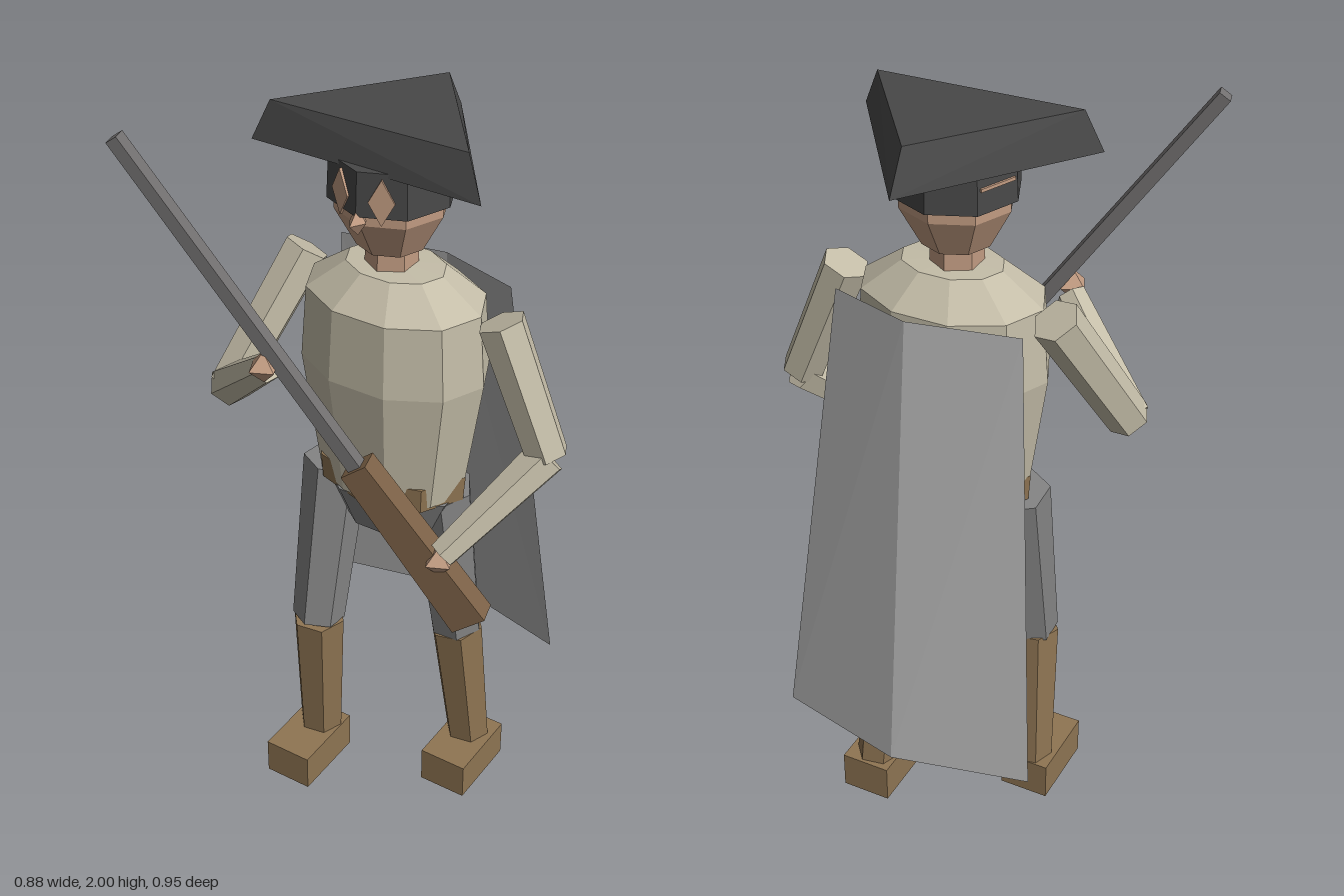
import * as THREE from 'three';
import { ConvexGeometry } from 'three/addons/geometries/ConvexGeometry.js';

const YAW = 0.35; // the whole figure is turned slightly to its left
const V = (p) => new THREE.Vector3(...p);

function paint(name, color) {
  const m = new THREE.MeshStandardMaterial({ color });
  m.name = name;
  return m;
}

// Faceted mesh: every face gets its own normal
function facet(name, geometry, material, parent) {
  const g = geometry.index ? geometry.toNonIndexed() : geometry;
  g.computeVertexNormals();
  const mesh = new THREE.Mesh(g, material);
  mesh.name = name;
  parent.add(mesh);
  return mesh;
}

// Few-sided turned solid, squashed in depth; profile is [radius, y] from bottom to top
function turned(name, profile, sides, depth, phase, material, parent) {
  const pts = profile.map(([r, y]) => new THREE.Vector2(r, y));
  const g = new THREE.LatheGeometry(pts, sides, phase);
  g.scale(1, 1, depth);
  return facet(name, g, material, parent);
}

// Tapered hexagonal limb between two points
function limb(name, a, b, ra, rb, material, parent) {
  const from = V(a), to = V(b);
  const dir = to.clone().sub(from);
  const mesh = facet(name, new THREE.CylinderGeometry(rb, ra, dir.length(), 6), material, parent);
  mesh.position.copy(from).add(to).multiplyScalar(0.5);
  mesh.quaternion.setFromUnitVectors(new THREE.Vector3(0, 1, 0), dir.normalize());
  return mesh;
}

// Tapered bar between two points, its first width kept level
function bar(name, a, b, level, startDepth, endDepth, material, parent) {
  const from = V(a), to = V(b);
  const dir = to.clone().sub(from);
  const g = new THREE.BoxGeometry(level, dir.length(), 1);
  const p = g.attributes.position;
  for (let i = 0; i < p.count; i++) p.setZ(i, p.getZ(i) * (p.getY(i) > 0 ? endDepth : startDepth));
  dir.normalize();
  const side = new THREE.Vector3(0, 1, 0).cross(dir).normalize();
  const mesh = facet(name, g, material, parent);
  mesh.quaternion.setFromRotationMatrix(
    new THREE.Matrix4().makeBasis(side, dir, side.clone().cross(dir)));
  mesh.position.copy(from).add(to).multiplyScalar(0.5);
}

export function createModel() {
  const model = new THREE.Group();
  const shirt = paint('linen shirt', 0xc4bda8);
  const grey = paint('grey trousers', 0x858585);
  const leather = paint('brown leather', 0x8f7553);
  const skin = paint('skin', 0xc29c82);
  const black = paint('charcoal', 0x484848);
  const steel = paint('gun metal', 0x737171);
  const wood = paint('dark wood', 0x7d6247);
  const cloth = paint('cape cloth', 0xb0b0b0);
  cloth.side = THREE.DoubleSide;

  // Torso, belt and hips share the body's turn
  const body = new THREE.Group();
  body.name = 'body';
  body.position.set(0, 0, -0.085);
  body.rotation.y = YAW;
  model.add(body);
  turned('torso', [[0, 1.01], [0.2, 1.01], [0.25, 1.35], [0.235, 1.54], [0.13, 1.615], [0, 1.62]],
    10, 0.74, Math.PI / 10, shirt, body);
  turned('belt', [[0, 1.0], [0.205, 1.0], [0.21, 1.07], [0, 1.07]], 8, 0.74, 0, leather, body);
  turned('hips', [[0, 0.88], [0.14, 0.88], [0.2, 1.005], [0, 1.005]], 8, 0.74, Math.PI / 8, grey, body);

  // Head with hair band, eye patches and nose
  const head = new THREE.Group();
  head.name = 'head';
  head.position.set(-0.01, 0, -0.08);
  head.rotation.y = YAW;
  model.add(head);
  turned('neck', [[0.065, 1.59], [0.062, 1.7]], 6, 1, 0, skin, head);
  turned('face', [[0, 1.66], [0.085, 1.67], [0.138, 1.77], [0.14, 1.9], [0, 1.9]], 8, 1, 0, skin, head);
  turned('hairBand', [[0.135, 1.8], [0.155, 1.8], [0.15, 1.91], [0, 1.91]], 8, 1, 0, black, head);
  for (const s of [-1, 1]) {
    const eye = facet('eyePatch', new THREE.CylinderGeometry(0.05, 0.05, 0.008, 4), skin, head);
    eye.geometry.rotateX(Math.PI / 2);
    eye.geometry.scale(0.62, 1.15, 1);
    eye.geometry.computeVertexNormals();
    eye.rotation.y = s * Math.PI / 8;
    eye.position.set(s * 0.0545, 1.84, 0.1315);
    const slit = facet('sideSlit', new THREE.BoxGeometry(0.008, 0.008, 0.1), skin, head);
    slit.rotation.y = -s * Math.PI / 8 * -1;
    slit.position.set(s * 0.131, 1.86, -0.0545);
  }
  const nose = facet('nose', new THREE.OctahedronGeometry(1), skin, head);
  nose.scale.set(0.022, 0.035, 0.035);
  nose.position.set(0, 1.785, 0.145);

  // Three-cornered hat
  const brim = [[-0.114, -0.366], [0.318, -0.068], [-0.255, 0.141]];
  const crown = [[-0.093, -0.31], [0.258, -0.08], [-0.222, 0.109]];
  facet('hat', new ConvexGeometry([
    ...brim.map(([x, z]) => V([x, 1.9, z])),
    ...crown.map(([x, z]) => V([x, 2, z])),
  ]), black, model);

  // Legs: right one strides forward, left one trails
  const legs = [
    { side: 'right', hip: [-0.145, 1.0, -0.01], knee: [-0.132, 0.52, 0.065], ankle: [-0.157, 0.08, 0.045], foot: [-0.142, 0.1] },
    { side: 'left', hip: [0.115, 1.0, -0.145], knee: [0.12, 0.52, -0.21], ankle: [0.125, 0.08, -0.265], foot: [0.146, -0.225] },
  ];
  for (const l of legs) {
    limb(l.side + 'Thigh', l.hip, l.knee, 0.085, 0.07, grey, model);
    limb(l.side + 'Boot', l.ankle, l.knee, 0.06, 0.073, leather, model);
    const foot = facet(l.side + 'Foot', new THREE.BoxGeometry(0.135, 0.105, 0.215), leather, model);
    foot.position.set(l.foot[0], 0.0525, l.foot[1]);
    foot.rotation.y = YAW;
  }

  // Arms and hands
  const arms = [
    { side: 'right', shoulder: [-0.285, 1.55, -0.03], elbow: [-0.325, 1.21, 0.19], wrist: [-0.06, 1.42, 0.25], hand: [-0.045, 1.435, 0.27] },
    { side: 'left', shoulder: [0.265, 1.54, -0.19], elbow: [0.39, 1.21, -0.245], wrist: [0.315, 0.98, 0.01], hand: [0.315, 0.965, 0.02] },
  ];
  for (const a of arms) {
    limb(a.side + 'UpperArm', a.shoulder, a.elbow, 0.06, 0.055, shirt, model);
    limb(a.side + 'Forearm', a.elbow, a.wrist, 0.055, 0.038, shirt, model);
    const hand = facet(a.side + 'Hand', new THREE.OctahedronGeometry(0.042), skin, model);
    hand.position.set(...a.hand);
  }

  // Long gun held across the body
  bar('gunBarrel', [0.14, 1.17, 0.122], [-0.328, 1.968, 0.457], 0.036, 0.036, 0.032, steel, model);
  bar('gunStock', [0.37, 0.785, -0.045], [0.128, 1.19, 0.128], 0.064, 0.1, 0.075, wood, model);

  // Cape: two panels falling from the shoulders
  const hem = [[-0.437, -0.24], [-0.136, -0.434], [0.215, -0.475]];
  const collar = [[-0.293, -0.14], [-0.055, -0.285], [0.17, -0.3]];
  const cape = new THREE.BufferGeometry();
  const corners = [...hem.map(([x, z]) => [x, 0.365, z]), ...collar.map(([x, z]) => [x, 1.55, z])];
  cape.setAttribute('position', new THREE.Float32BufferAttribute(corners.flat(), 3));
  cape.setIndex([0, 3, 1, 3, 4, 1, 1, 4, 2, 4, 5, 2]);
  facet('cape', cape, cloth, model);

  return model;
}
